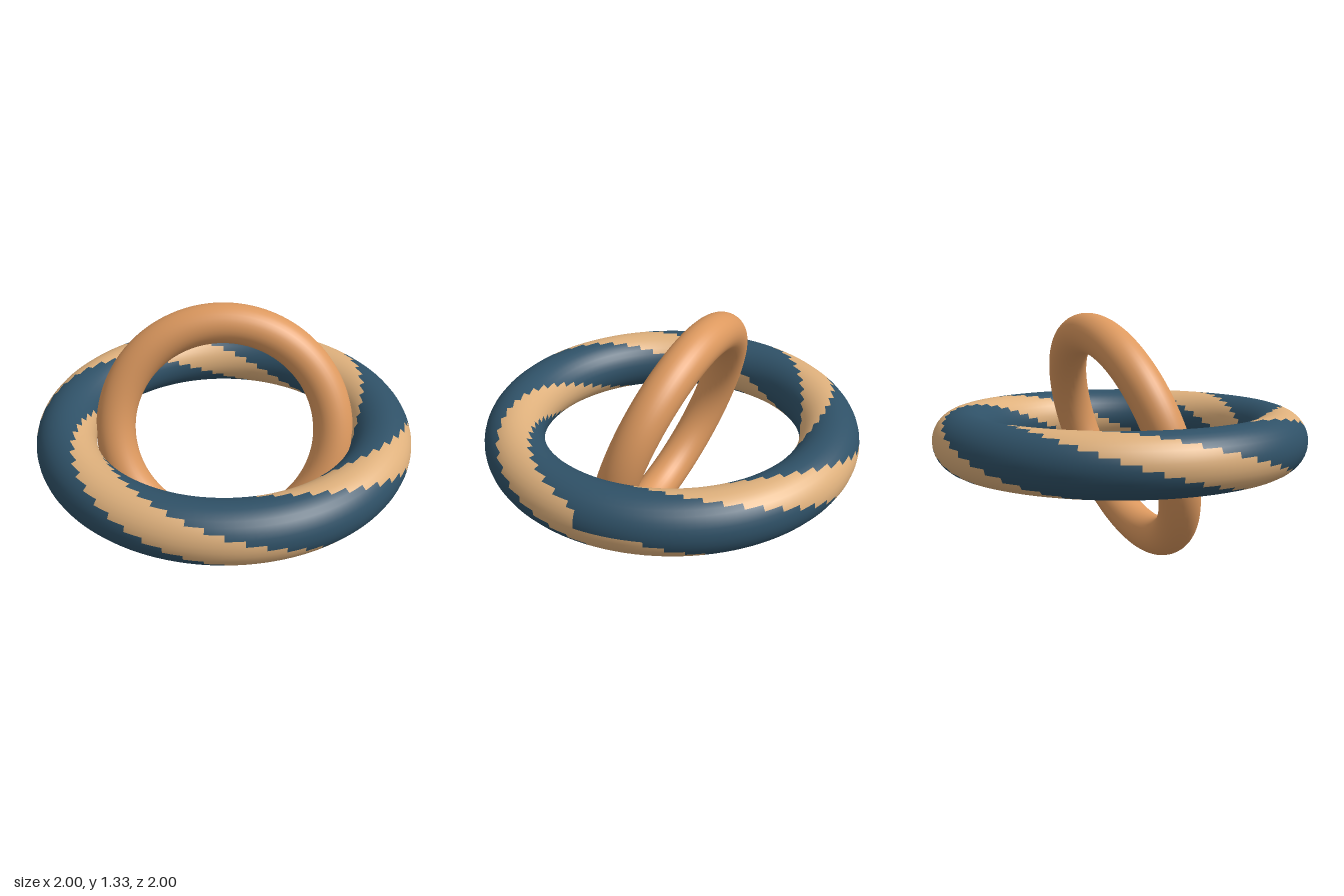
import * as THREE from 'three';

const paint = (name, color) => {
  const m = new THREE.MeshStandardMaterial({ color });
  m.name = name;
  return m;
};

export function createModel() {
  const blue = paint('deep blue', 0x2f5167);
  const tan = paint('pale tan', 0xdeb07c);
  const copper = paint('copper', 0xdd995f);
  const model = new THREE.Group();
  model.name = 'interlockedRings';

  // Outer ring: faces are sorted into blue ground and tan spiral bands
  const sides = 32, steps = 128;
  const geo = new THREE.TorusGeometry(0.842, 0.158, sides, steps);
  const index = geo.index.array;
  const faces = [[], []];
  for (let j = 0; j < sides; j++) {
    for (let i = 0; i < steps; i++) {
      // Four bands, each winding round the tube twice per full circle
      const phase = (4 * (i + 0.5)) / steps + (2 * (j + 0.5)) / sides;
      const isBand = phase > 0.2 && Math.abs(phase - Math.round(phase)) < 0.2;
      const start = (j * steps + i) * 6;
      faces[isBand ? 1 : 0].push(...index.subarray(start, start + 6));
    }
  }
  geo.setIndex([...faces[0], ...faces[1]]);
  geo.addGroup(0, faces[0].length, 0);
  geo.addGroup(faces[0].length, faces[1].length, 1);
  geo.rotateX(-Math.PI / 2);
  const outerRing = new THREE.Mesh(geo, [blue, tan]);
  outerRing.name = 'stripedOuterRing';
  outerRing.position.y = 0.67;
  model.add(outerRing);

  // Inner ring: upright, leaning backwards
  const innerRing = new THREE.Mesh(new THREE.TorusGeometry(0.587, 0.106, 32, 128), copper);
  innerRing.name = 'tiltedInnerRing';
  innerRing.position.y = 0.67;
  innerRing.rotation.x = -0.315;
  model.add(innerRing);

  return model;
}
